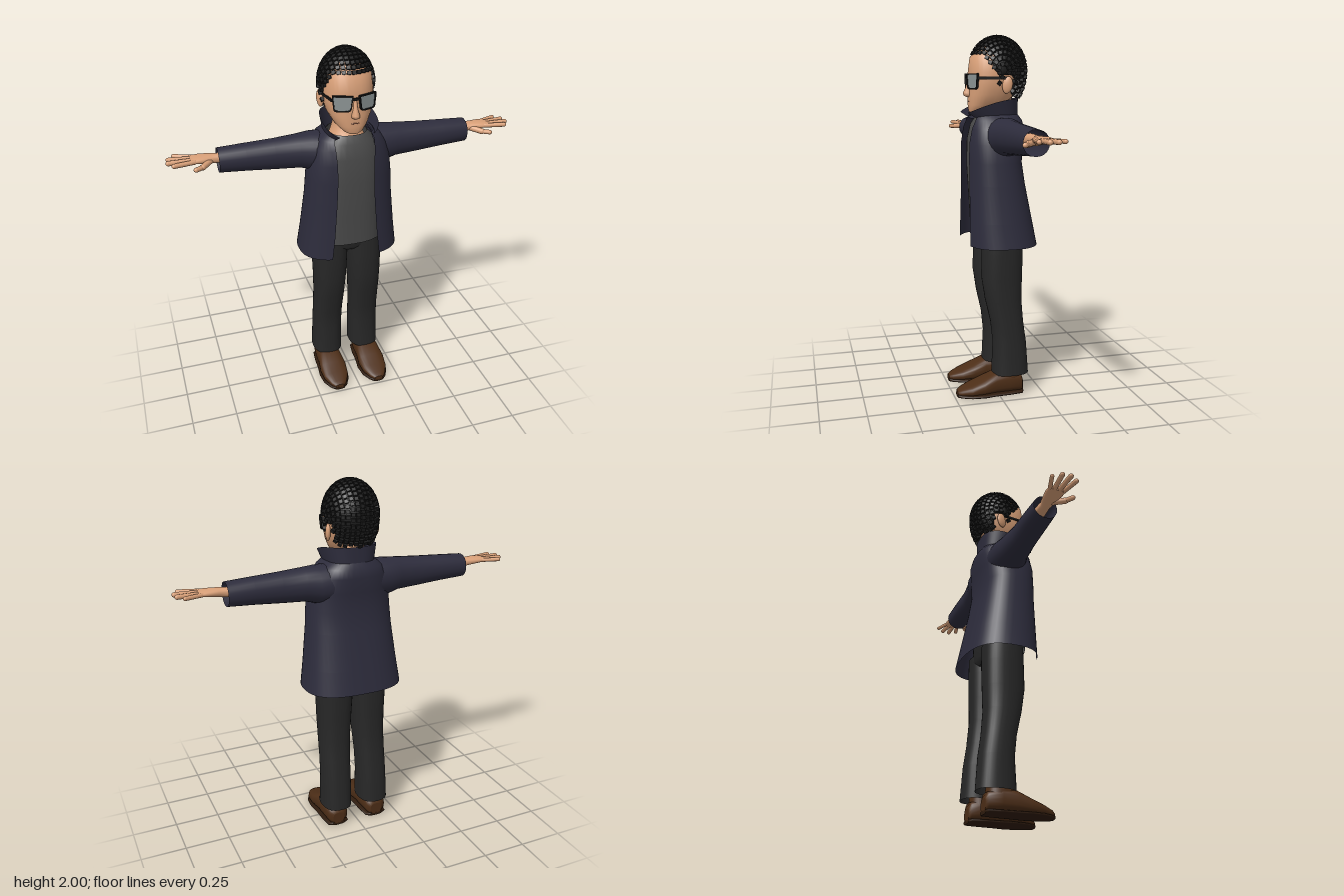
import * as THREE from 'three';
import { mergeGeometries } from 'three/addons/utils/BufferGeometryUtils.js';

const V = (x, y, z) => new THREE.Vector3(x, y, z);
const mat = (color) => new THREE.MeshStandardMaterial({ color, side: THREE.DoubleSide });
const SKIN = mat(0xd9a078), COAT = mat(0x2d2c3c), SHIRT = mat(0x4b4b4b), PANTS = mat(0x272727),
  SHOE = mat(0x4d2e17), SOLE = mat(0x2e1b0d), HAIR = mat(0x1a1a1a), FRAME = mat(0x151515),
  LENS = mat(0x8b9393), LIP = mat(0x9a6048);

// Horizontal rounded cross-section; a gap > 0 leaves it open at the front
function ring(y, rx, zf, zb, { cx = 0, p = 0.82, gap = 0, n = 32 } = {}) {
  const a0 = gap ? Math.asin(Math.pow(gap / rx, 1 / p)) : 0;
  const pow = (v) => Math.sign(v) * Math.pow(Math.abs(v), p);
  const pts = [];
  for (let i = 0; i < (gap ? n + 1 : n); i++) {
    const a = a0 + (i / n) * (Math.PI * 2 - 2 * a0);
    pts.push(V(cx + rx * pow(Math.sin(a)), y, (zf + zb) / 2 + ((zf - zb) / 2) * pow(Math.cos(a))));
  }
  return pts;
}

// Skin over a stack of cross-sections
function loft(rings, { closed = true, bottom = false, top = false } = {}) {
  const n = rings[0].length, pts = rings.flat(), index = [];
  for (let i = 0; i < rings.length - 1; i++) {
    for (let j = 0; j < (closed ? n : n - 1); j++) {
      const k = (j + 1) % n, a = i * n + j, b = i * n + k;
      index.push(a, b, a + n, b, b + n, a + n);
    }
  }
  const cap = (r, flip) => {
    const s = pts.length;
    const c = r.reduce((sum, v) => sum.add(v), V(0, 0, 0)).divideScalar(n);
    pts.push(...r, c);
    for (let j = 0; j < n; j++) {
      const k = (j + 1) % n;
      index.push(s + n, s + (flip ? k : j), s + (flip ? j : k));
    }
  };
  if (bottom) cap(rings[0], true);
  if (top) cap(rings[rings.length - 1], false);
  const g = new THREE.BufferGeometry().setFromPoints(pts);
  g.setIndex(index);
  g.computeVertexNormals();
  return g;
}

const stack = (rows, opt, ends) => loft(rows.map(([y, rx, zf, zb]) => ring(y, rx, zf, zb, opt)), ends);

function add(parent, name, geometry, material) {
  const m = new THREE.Mesh(geometry, material);
  m.name = name;
  parent.add(m);
  return m;
}

// Rounded rod between two points
function rod(a, b, r) {
  const d = b.clone().sub(a);
  const g = new THREE.CapsuleGeometry(r, d.length(), 5, 10);
  g.applyQuaternion(new THREE.Quaternion().setFromUnitVectors(V(0, 1, 0), d.normalize()));
  const c = a.clone().add(b).multiplyScalar(0.5);
  return g.translate(c.x, c.y, c.z);
}

// Hair surface and the hairline height for each depth
const hairPoint = (d, s = 1) => V(d.x * 0.138 * s, 1.81 + d.y * (d.y > 0 ? 0.175 : 0.22) * s, -0.03 + d.z * 0.152 * s);
function hairline(z) {
  if (z > 0.01) return THREE.MathUtils.mapLinear(Math.min(z, 0.07), 0.01, 0.07, 1.8, 1.885);
  return z > -0.02 ? 1.73 : z > -0.08 ? 1.775 : 1.665;
}

function buildHair(parent) {
  const cap = new THREE.SphereGeometry(1, 40, 30), pos = cap.attributes.position;
  for (let i = 0; i < pos.count; i++) {
    const d = V(0, 0, 0).fromBufferAttribute(pos, i);
    const q = hairPoint(d);
    const r = hairPoint(d, q.y > hairline(q.z) ? 0.99 : 0.78);
    pos.setXYZ(i, r.x, r.y, r.z);
  }
  cap.computeVertexNormals();
  add(parent, 'hairCap', cap, HAIR);

  // Front-to-back rows of small blocks
  const blocks = [], rows = 17;
  for (let i = 0; i < rows; i++) {
    const phi = THREE.MathUtils.degToRad(-80 + (160 * i) / (rows - 1));
    const steps = Math.max(8, Math.round(42 * Math.cos(phi)));
    for (let j = 0; j < steps; j++) {
      const t = ((j + 0.5) / steps) * Math.PI * 2;
      const dir = (a) => V(Math.sin(phi), Math.cos(phi) * Math.sin(a), Math.cos(phi) * Math.cos(a));
      const q = hairPoint(dir(t));
      if (q.y < hairline(q.z)) continue;
      const up = dir(t), along = hairPoint(dir(t + 0.05)).sub(q).normalize();
      const side = V(0, 0, 0).crossVectors(up, along).normalize();
      up.crossVectors(along, side);
      const b = new THREE.BoxGeometry(0.021, 0.028, 0.019);
      b.applyMatrix4(new THREE.Matrix4().makeBasis(side, up, along).setPosition(q));
      blocks.push(b);
    }
  }
  add(parent, 'hairRows', mergeGeometries(blocks), HAIR);
}

function buildHead(root) {
  const head = new THREE.Group();
  head.name = 'head';
  root.add(head);
  add(head, 'face', stack([[1.582, 0.03, 0.122, 0.06], [1.592, 0.05, 0.13, 0.03], [1.625, 0.085, 0.133, -0.06],
    [1.68, 0.114, 0.134, -0.12], [1.74, 0.128, 0.13, -0.145], [1.8, 0.13, 0.13, -0.155], [1.88, 0.12, 0.12, -0.15],
    [1.94, 0.08, 0.07, -0.11], [1.965, 0.03, 0.01, -0.06]], {}, { bottom: true, top: true }), SKIN);
  add(head, 'neck', stack([[1.5, 0.11, 0.08, -0.13], [1.555, 0.085, 0.06, -0.12], [1.6, 0.068, 0.03, -0.11],
    [1.7, 0.068, 0.03, -0.11]], { p: 1 }), SKIN);
  add(head, 'nose', stack([[1.668, 0.012, 0.145, 0.1], [1.676, 0.022, 0.16, 0.1], [1.69, 0.021, 0.163, 0.1],
    [1.72, 0.013, 0.148, 0.1], [1.775, 0.01, 0.132, 0.1]], { p: 1, n: 12 }, { bottom: true }), SKIN);
  const mouth = new THREE.QuadraticBezierCurve3(V(-0.028, 1.642, 0.127), V(0, 1.644, 0.14), V(0.028, 1.642, 0.127));
  add(head, 'mouth', new THREE.TubeGeometry(mouth, 10, 0.0028, 6), LIP);
  buildHair(head);
}

// Ear, lens, rim and temple of one side
function buildFaceSide(side) {
  const ear = new THREE.SphereGeometry(1, 16, 12).scale(0.014, 0.046, 0.028).rotateX(-0.15).rotateY(-0.3);
  add(side, 'ear', ear.translate(0.135, 1.732, -0.05), SKIN);
  const outline = (Path, e) => {
    const p = new Path();
    p.moveTo(0.012 - e, 0.038 + e);
    p.lineTo(0.106 + e, 0.038 + e);
    p.lineTo(0.1 + e, -0.022);
    p.quadraticCurveTo(0.098 + e, -0.032 - e, 0.085, -0.032 - e);
    p.lineTo(0.038, -0.032 - e);
    p.quadraticCurveTo(0.022 - e, -0.032 - e, 0.019 - e, -0.015);
    p.closePath();
    return p;
  };
  const place = (g) => g.rotateY(0.36).translate(0.008, 1.748, 0.14);
  const rim = outline(THREE.Shape, 0.007);
  rim.holes.push(outline(THREE.Path, 0));
  add(side, 'glassesRim', place(new THREE.ExtrudeGeometry(rim, { depth: 0.012, bevelEnabled: false })), FRAME);
  add(side, 'lens', place(new THREE.ShapeGeometry(outline(THREE.Shape, 0)).translate(0, 0, 0.007)), LENS);
  const temple = new THREE.BoxGeometry(0.007, 0.014, 0.16).rotateY(-0.13);
  add(side, 'glassesTemple', temple.translate(0.127, 1.768, 0.025), FRAME);
}

function buildArm(side) {
  // Sections run along the arm: [x, half height, front, back, middle height]
  const along = (rows, p, ends) => loft(rows.map(([x, h, zf, zb, y]) =>
    ring(x, h, zf, zb, { cx: -y, p, n: 24 })), ends).rotateZ(-Math.PI / 2);
  add(side, 'sleeve', along([[0.12, 0.105, 0.09, -0.14, 1.455], [0.2, 0.102, 0.075, -0.135, 1.458],
    [0.27, 0.09, 0.06, -0.115, 1.464], [0.4, 0.082, 0.045, -0.1, 1.463], [0.55, 0.072, 0.04, -0.1, 1.465],
    [0.69, 0.064, 0.033, -0.098, 1.465]], 0.95), COAT);
  add(side, 'palm', along([[0.58, 0.03, 0, -0.07, 1.475], [0.69, 0.024, -0.006, -0.062, 1.477],
    [0.73, 0.022, 0.004, -0.07, 1.482], [0.79, 0.018, 0.018, -0.078, 1.486], [0.83, 0.012, 0.016, -0.076, 1.486]],
    0.85, { top: true, bottom: true }), SKIN);
  // [base z, tip x, tip z, radius]
  [[0.006, 0.915, 0.03, 0.0125], [-0.018, 0.94, -0.012, 0.0135], [-0.043, 0.935, -0.056, 0.013], [-0.065, 0.905, -0.097, 0.011]]
    .forEach(([z0, x1, z1, r]) => add(side, 'finger', rod(V(0.81, 1.486, z0), V(x1, 1.488, z1), r), SKIN));
  add(side, 'thumb', rod(V(0.73, 1.475, -0.01), V(0.775, 1.468, 0.04), 0.016), SKIN);
  add(side, 'thumbTip', rod(V(0.775, 1.468, 0.04), V(0.812, 1.467, 0.062), 0.013), SKIN);
}

function buildLeg(side) {
  // [y, centre x, half width, front, back]
  const leg = [[0.12, 0.115, 0.086, 0.03, -0.178], [0.3, 0.112, 0.084, 0.022, -0.165], [0.42, 0.11, 0.084, 0.035, -0.148],
    [0.55, 0.106, 0.087, 0.065, -0.138], [0.68, 0.103, 0.092, 0.085, -0.142], [0.82, 0.101, 0.099, 0.082, -0.145],
    [0.92, 0.099, 0.1, 0.08, -0.145]];
  add(side, 'trouserLeg', loft(leg.map(([y, cx, rx, zf, zb]) => ring(y, rx, zf, zb, { cx }))), PANTS);
  // Shoe sections from heel to toe: [z, half width, height]
  const shoe = [[-0.143, 0.035, 0.08], [-0.132, 0.058, 0.11], [-0.06, 0.068, 0.135], [0.02, 0.071, 0.13], [0.09, 0.08, 0.096],
    [0.16, 0.073, 0.068], [0.215, 0.046, 0.048], [0.235, 0.025, 0.036]];
  const build = (low, high, grow) => loft(shoe.map(([z, rx, h]) =>
    ring(z, rx + grow, -low, -(high || h), { cx: 0.122, p: 0.72, n: 24 })), { bottom: true, top: true }).rotateX(Math.PI / 2);
  add(side, 'shoe', build(0.012, 0, 0), SHOE);
  add(side, 'shoeSole', build(0, 0.022, 0.005), SOLE);
  add(side, 'shoeAnkle', stack([[0.09, 0.066, 0.03, -0.13], [0.18, 0.058, 0.005, -0.12]], { cx: 0.12 }, { top: true }), SHOE);
}

function buildClothes(root) {
  add(root, 'shirt', stack([[0.92, 0.185, 0.112, -0.14], [1.1, 0.18, 0.122, -0.13], [1.3, 0.18, 0.135, -0.125],
    [1.44, 0.17, 0.132, -0.13], [1.52, 0.14, 0.115, -0.13], [1.562, 0.1, 0.09, -0.125]], { p: 0.78 }), SHIRT);
  add(root, 'trouserSeat', stack([[0.85, 0.14, 0.05, -0.12], [0.88, 0.18, 0.075, -0.143], [1.0, 0.18, 0.085, -0.14]], {},
    { bottom: true }), PANTS);
  // [y, half width, front, back, half opening]
  const coat = [[0.865, 0.28, 0.168, -0.232, 0.135], [1.0, 0.262, 0.165, -0.205, 0.12], [1.2, 0.24, 0.16, -0.165, 0.105],
    [1.32, 0.232, 0.16, -0.147, 0.1], [1.42, 0.222, 0.16, -0.155, 0.1], [1.5, 0.2, 0.15, -0.165, 0.105],
    [1.545, 0.17, 0.138, -0.155, 0.108], [1.575, 0.128, 0.13, -0.136, 0.095]];
  add(root, 'coat', loft(coat.map(([y, rx, zf, zb, gap]) => ring(y, rx, zf, zb, { gap, p: 0.76, n: 40 })), { closed: false }), COAT);
  // Standing collar, high at the back and dropping to the front tips
  const rim = ring(0, 0.148, 0.175, -0.136, { gap: 0.088, p: 0.76, n: 40 });
  rim.forEach((v) => { v.y = 1.66 - 0.075 * Math.pow((v.z + 0.136) / 0.295, 2); });
  const base = ring(1.545, 0.125, 0.13, -0.136, { gap: 0.1, p: 0.76, n: 40 });
  add(root, 'collar', loft([base, rim], { closed: false }), COAT);
}

export function createModel() {
  const root = new THREE.Group();
  root.name = 'figure';
  buildHead(root);
  buildClothes(root);
  add(root, 'glassesBridge', new THREE.BoxGeometry(0.04, 0.012, 0.012).translate(0, 1.775, 0.142), FRAME);
  for (const s of [1, -1]) {
    const side = new THREE.Group();
    side.name = s > 0 ? 'leftSide' : 'rightSide';
    buildFaceSide(side);
    buildArm(side);
    buildLeg(side);
    side.scale.x = s;
    root.add(side);
  }
  return root;
}
